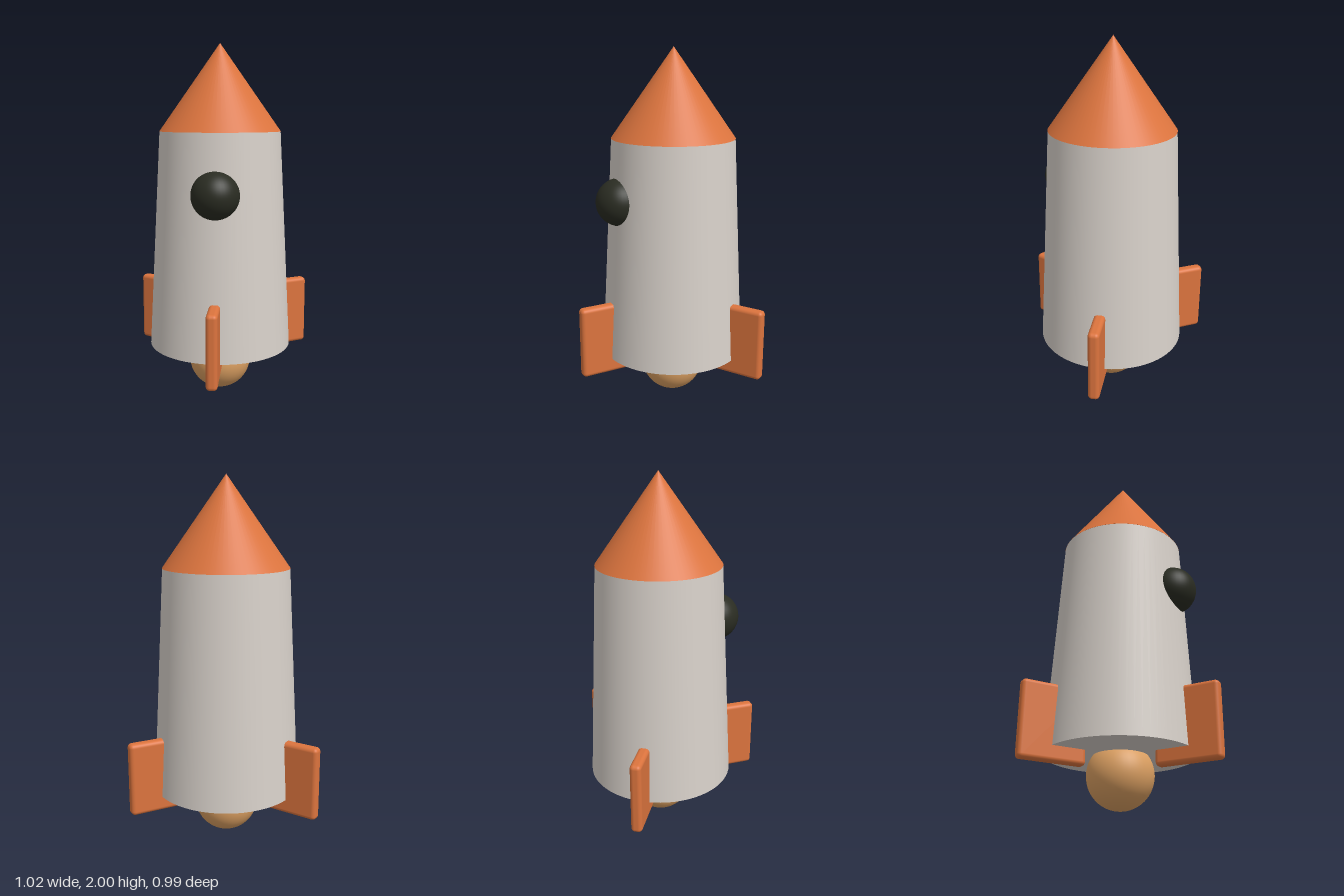
import * as THREE from 'three';
import { RoundedBoxGeometry } from 'three/addons/geometries/RoundedBoxGeometry.js';

const material = (name, color) => {
  const m = new THREE.MeshStandardMaterial({ color });
  m.name = name;
  return m;
};

export function createModel() {
  const hull = material('pale grey', 0xd8d1ca);
  const orange = material('orange', 0xdc743e);
  const dark = material('dark glass', 0x2a2c22);
  const amber = material('amber', 0xdca062);

  // The rocket's axis sits slightly behind the centre
  const rocket = new THREE.Group();
  rocket.name = 'rocket';
  rocket.position.z = -0.085;

  const add = (name, geometry, mat, y, z = 0, parent = rocket) => {
    const mesh = new THREE.Mesh(geometry, mat);
    mesh.name = name;
    mesh.position.set(0, y, z);
    parent.add(mesh);
    return mesh;
  };

  // Tapered body and nose
  add('body', new THREE.CylinderGeometry(0.342, 0.408, 1.23, 64), hull, 0.9);
  add('noseCone', new THREE.ConeGeometry(0.343, 0.485, 64), orange, 1.7575);

  // Round porthole half sunk into the front
  add('porthole', new THREE.SphereGeometry(0.131, 40, 28), dark, 1.187, 0.329);

  // Exhaust ball under the body
  add('exhaust', new THREE.SphereGeometry(0.179, 40, 28), amber, 0.183);

  // Three rounded fins, one facing front
  const finShape = new RoundedBoxGeometry(0.062, 0.406, 0.365, 4, 0.022);
  for (let i = 0; i < 3; i++) {
    const arm = new THREE.Group();
    arm.name = 'finArm' + (i + 1);
    arm.rotation.y = (i * Math.PI * 2) / 3;
    add('fin', finShape, orange, 0.407, 0.3975, arm);
    rocket.add(arm);
  }

  const model = new THREE.Group();
  model.name = 'toyRocket';
  model.add(rocket);
  return model;
}
